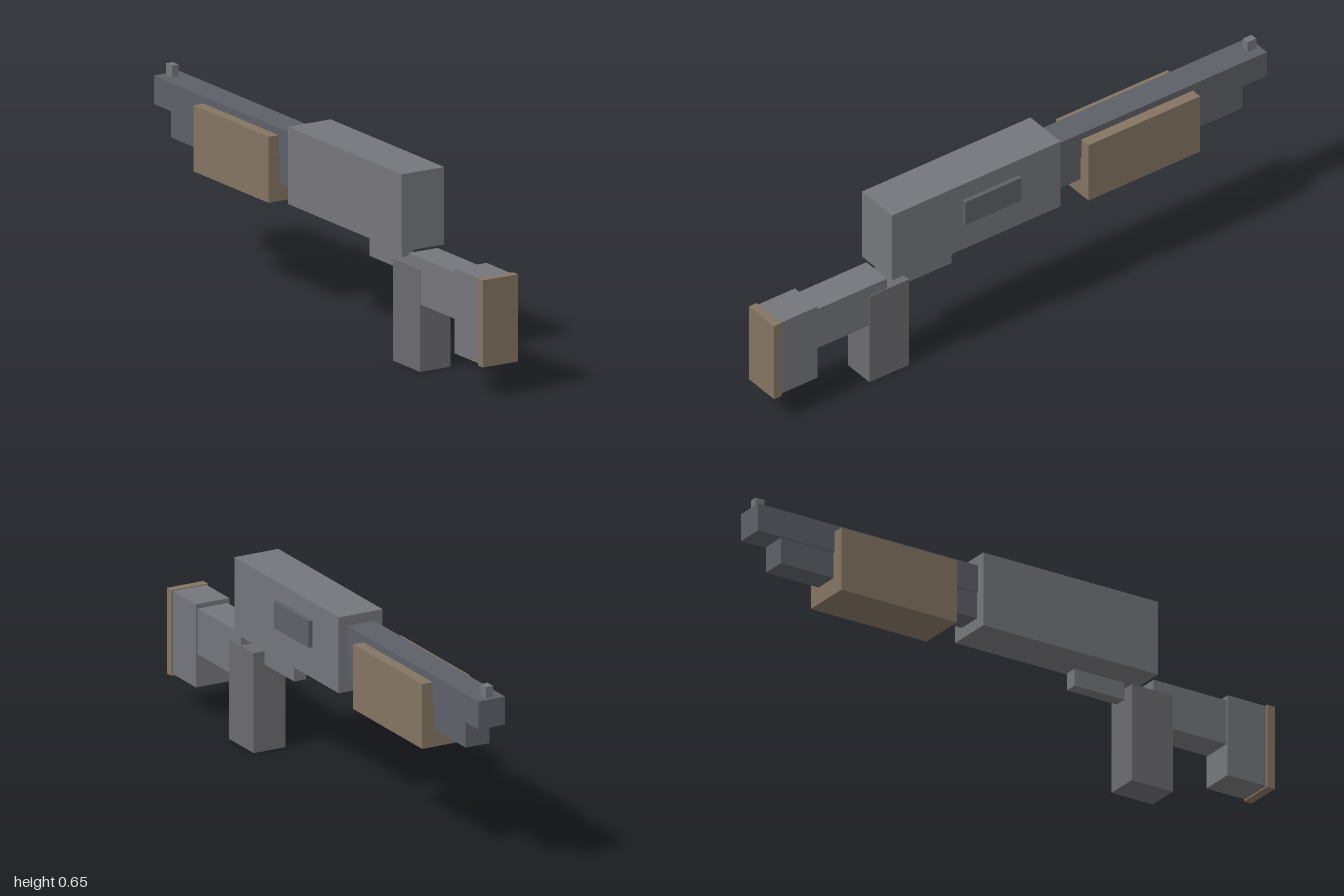
import * as THREE from 'three';

const material = (color) => new THREE.MeshStandardMaterial({ color });

export function createModel() {
  const model = new THREE.Group();
  const steel = material(0x75767b);
  const darkSteel = material(0x5d6067);
  const gripGrey = material(0x6b6b70);
  const wood = material(0x857462);
  const midX = -0.005; // the body sits off centre because of the side port

  // Box given by its width and its extents in y and z
  function addBox(name, mat, width, [y0, y1], [z0, z1], x = midX) {
    const mesh = new THREE.Mesh(new THREE.BoxGeometry(width, y1 - y0, z1 - z0), mat);
    mesh.position.set(x, (y0 + y1) / 2, (z0 + z1) / 2);
    mesh.name = name;
    model.add(mesh);
  }

  // Central body with the port on its left side
  addBox('receiver', steel, 0.164, [0.39, 0.65], [-0.145, 0.535]);
  addBox('ejectionPort', darkSteel, 0.02, [0.497, 0.588], [0.025, 0.25], 0.083);

  // Barrel group
  addBox('barrel', darkSteel, 0.1, [0.52, 0.616], [-1, -0.145]);
  addBox('magazineTube', darkSteel, 0.088, [0.429, 0.52], [-0.907, -0.145]);
  addBox('forend', wood, 0.178, [0.37, 0.592], [-0.702, -0.252]);
  addBox('frontSight', steel, 0.026, [0.616, 0.655], [-0.985, -0.95]);

  // Grip and trigger guard
  addBox('grip', gripGrey, 0.118, [0, 0.343], [0.449, 0.609]);
  addBox('triggerGuard', steel, 0.044, [0.3, 0.36], [0.25, 0.445]);

  // Stock
  addBox('stockNeck', steel, 0.112, [0.226, 0.382], [0.536, 0.82]);
  addBox('stock', steel, 0.124, [0.113, 0.398], [0.82, 0.97]);
  addBox('buttPad', wood, 0.136, [0.108, 0.401], [0.97, 1]);

  return model;
}
